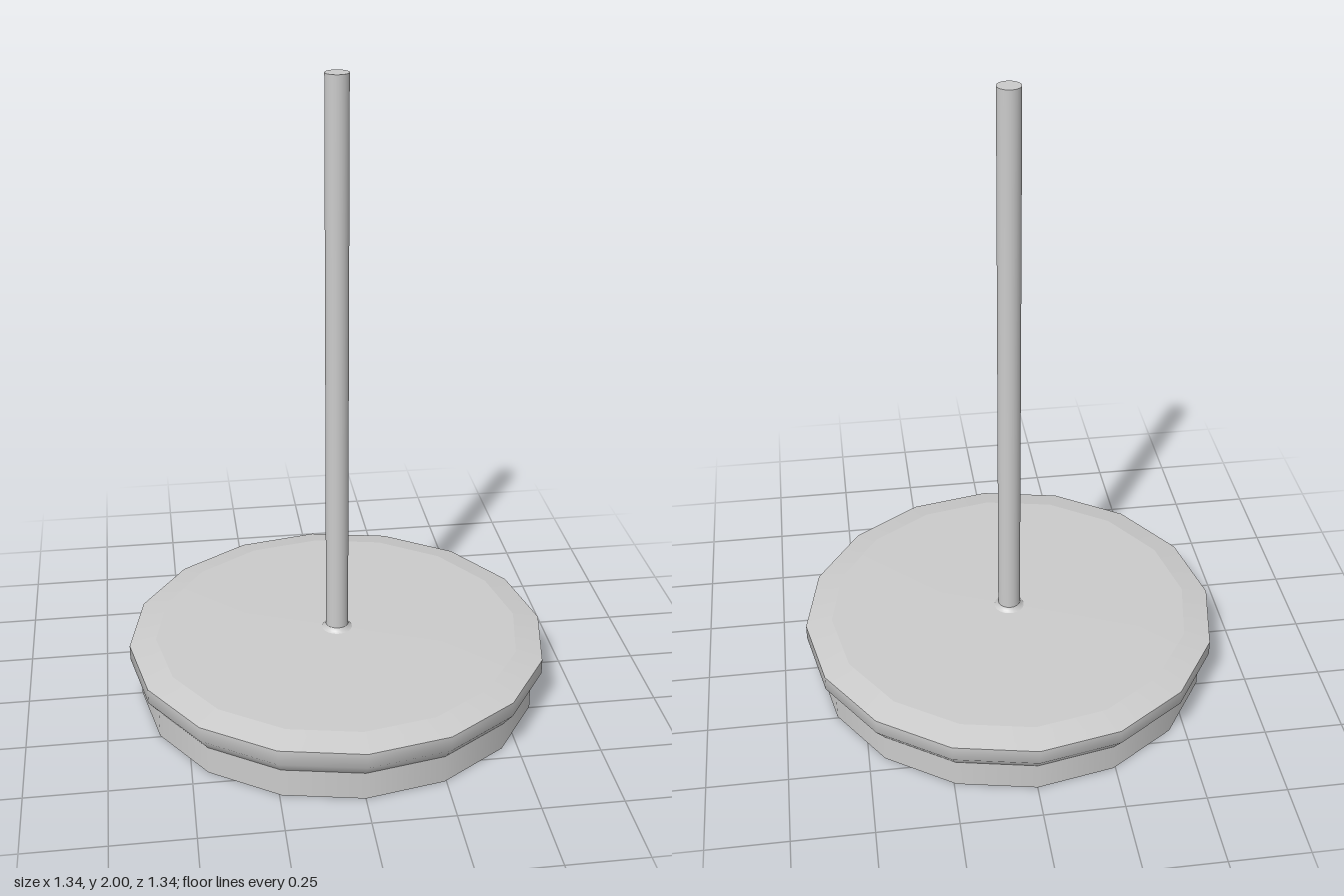
import * as THREE from 'three';

const material = new THREE.MeshStandardMaterial({ color: 0xcccccc });

// Revolves each profile (bottom to top) separately, so the seams between them stay sharp.
function turned(name, sides, profiles) {
  const part = new THREE.Group();
  part.name = name;
  profiles.forEach((profile, i) => {
    const points = profile.map(([r, y]) => new THREE.Vector2(r, y));
    const mesh = new THREE.Mesh(new THREE.LatheGeometry(points, sides), material);
    mesh.name = `${name}Surface${i + 1}`;
    part.add(mesh);
  });
  return part;
}

export function createModel() {
  const model = new THREE.Group();
  model.name = 'poleStand';

  // Plain drum standing on the ground
  model.add(turned('base', 16, [
    [[0, 0], [0.637, 0]],
    [[0.637, 0], [0.637, 0.09]],
  ]));

  // Wider plate with a flared underside and a bevelled top
  model.add(turned('plate', 16, [
    [[0.637, 0.09], [0.67, 0.132], [0.67, 0.18]],
    [[0.67, 0.18], [0.585, 0.198]],
    [[0.585, 0.198], [0, 0.2]],
  ]));

  // Slim pole with a small fillet at its foot and a flat end
  model.add(turned('pole', 24, [
    [[0.05, 0.199], [0.041, 0.204], [0.036, 0.214]],
    [[0.036, 0.214], [0.036, 2]],
    [[0.036, 2], [0, 2]],
  ]));

  return model;
}
